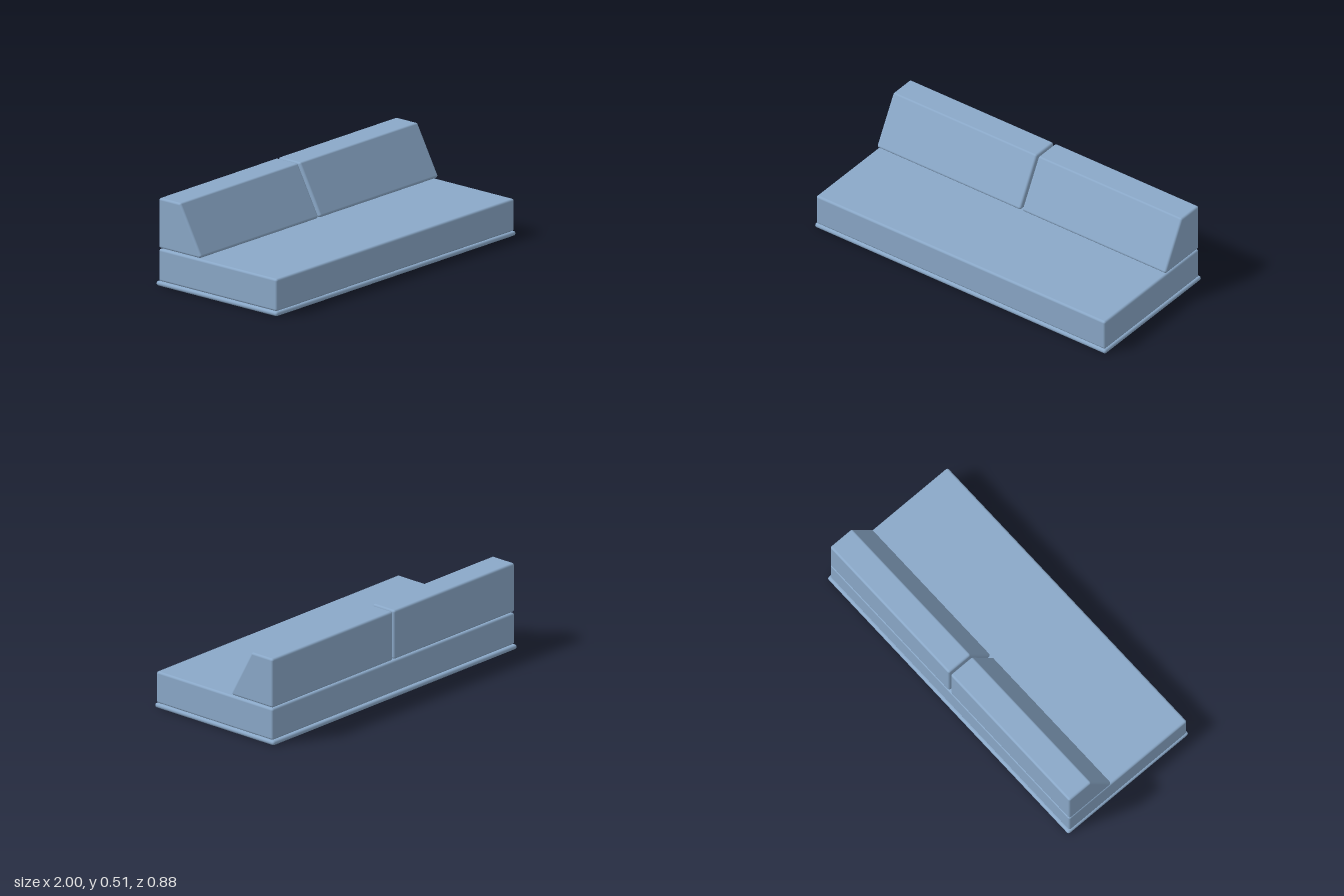
import * as THREE from 'three';
import { RoundedBoxGeometry } from 'three/addons/geometries/RoundedBoxGeometry.js';

const fabric = new THREE.MeshStandardMaterial({ color: 0x8aa8c8 });

function roundedBlock(name, x0, x1, y0, y1, z0, z1, r) {
  const mesh = new THREE.Mesh(new RoundedBoxGeometry(x1 - x0, y1 - y0, z1 - z0, 4, r), fabric);
  mesh.position.set((x0 + x1) / 2, (y0 + y1) / 2, (z0 + z1) / 2);
  mesh.name = name;
  return mesh;
}

// Lean the front face of a rounded block back by `lean`, keeping true round edges
function leanFront(mesh, w, h, d, r, lean) {
  const slope = lean / h;
  const { position, normal } = mesh.geometry.attributes;
  const n = new THREE.Vector3();
  for (let i = 0; i < position.count; i++) {
    const sx = Math.sign(position.getX(i));
    const sy = Math.sign(position.getY(i));
    const front = position.getZ(i) > 0;
    n.fromBufferAttribute(normal, i);
    if (front) n.y += n.z * slope;
    n.normalize();
    // centre of the rounding ball at this corner
    const cx = sx * (w / 2 - r);
    const cy = sy * (h / 2 - r);
    const cz = front ? d / 2 - r * Math.hypot(1, slope) - slope * (cy + h / 2) : -d / 2 + r;
    position.setXYZ(i, cx + r * n.x, cy + r * n.y, cz + r * n.z);
    normal.setXYZ(i, n.x, n.y, n.z);
  }
  return mesh;
}

export function createModel() {
  const group = new THREE.Group();
  group.name = 'sofa';

  // Thin base board and seat block
  group.add(roundedBlock('basePlate', -1, 1, 0, 0.027, -0.442, 0.442, 0.0132));
  group.add(roundedBlock('seatCushion', -0.993, 0.993, 0.027, 0.213, -0.428, 0.436, 0.013));

  // Two wedge back cushions with a narrow gap between them
  const [xIn, xOut, y0, y1, z0, z1, r] = [0.006, 0.993, 0.218, 0.506, -0.428, -0.113, 0.013];
  for (const side of [1, -1]) {
    const xs = [side * xIn, side * xOut].sort((a, b) => a - b);
    const name = side > 0 ? 'leftBackCushion' : 'rightBackCushion';
    const block = roundedBlock(name, xs[0], xs[1], y0, y1, z0, z1, r);
    group.add(leanFront(block, xOut - xIn, y1 - y0, z1 - z0, r, 0.157));
  }
  return group;
}
